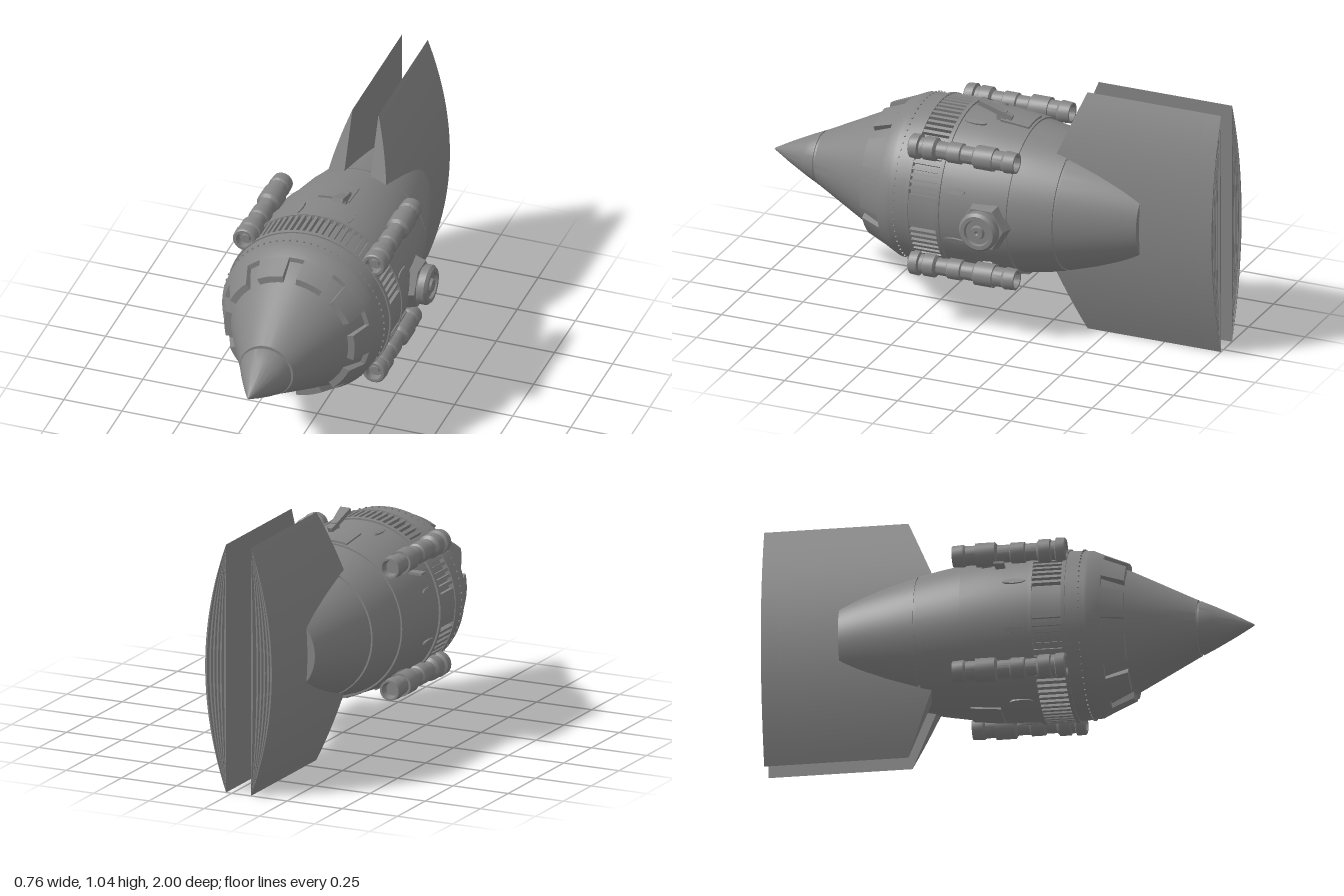
import * as THREE from 'three';
import { toCreasedNormals } from 'three/addons/utils/BufferGeometryUtils.js';

const TAU = Math.PI * 2;

export function createModel() {
  const model = new THREE.Group();
  model.name = 'rocketShip';
  const hullGrey = new THREE.MeshStandardMaterial({ color: 0x858585 });
  hullGrey.name = 'hullGrey';

  // everything is placed relative to the hull axis
  const ship = new THREE.Group();
  ship.name = 'ship';
  ship.position.set(-0.03, 0.522, 0);
  model.add(ship);

  const add = (name, geometry, parent = ship) => {
    const mesh = new THREE.Mesh(geometry, hullGrey);
    mesh.name = name;
    parent.add(mesh);
    return mesh;
  };

  // turned shape along z from [z, radius] pairs, z rising
  const turned = (profile, segments = 72) => {
    const g = new THREE.LatheGeometry(profile.map(([z, r]) => new THREE.Vector2(r, z)), segments);
    g.rotateX(Math.PI / 2);
    return toCreasedNormals(g, 0.45);
  };

  // box reshaped by a rule
  const reshaped = (sx, sy, sz, rule) => {
    const g = new THREE.BoxGeometry(1, 1, 1, sx, sy, sz);
    const p = g.attributes.position;
    for (let i = 0; i < p.count; i++) {
      p.setXYZ(i, ...rule(p.getX(i) + 0.5, p.getY(i) + 0.5, p.getZ(i) + 0.5));
    }
    g.computeVertexNormals();
    return toCreasedNormals(g, 0.45);
  };

  // curved plate around the axis; back and front are [z, inner, outer]
  const sector = (a0, a1, back, front, segments = 6) => reshaped(segments, 1, 1, (u, v, w) => {
    const a = a0 + (a1 - a0) * u;
    const [z, ri, ro] = back.map((b, i) => b + (front[i] - b) * w);
    const r = ri + (ro - ri) * v;
    return [r * Math.sin(a), r * Math.cos(a), z];
  });

  // part placed on the hull skin at an angle clockwise from the top
  const onHull = (mesh, angle, radius, z) => {
    mesh.position.set(radius * Math.sin(angle), radius * Math.cos(angle), z);
    mesh.rotation.z = -angle;
    return mesh;
  };

  // hull with seams and a recessed vent band
  add('hull', turned([
    [-0.68, 0], [-0.68, 0.185], [-0.6, 0.211], [-0.48, 0.246], [-0.36, 0.277],
    [-0.36, 0.271], [-0.35, 0.273], [-0.35, 0.281], [-0.26, 0.299], [-0.165, 0.315],
    [-0.165, 0.322], [-0.08, 0.332], [0.02, 0.34], [0.12, 0.344],
    [0.12, 0.352], [0.135, 0.353], [0.135, 0.33], [0.255, 0.33], [0.255, 0.353], [0.27, 0.352],
    [0.27, 0.346], [0.35, 0.34], [0.35, 0.315], [0.41, 0.297], [0.5, 0.252], [0.64, 0.182], [0.775, 0.114],
  ]));
  add('noseCone', turned([
    [0.765, 0.117], [0.775, 0.115], [0.775, 0.104], [0.785, 0.104], [0.785, 0.11],
    [0.84, 0.085], [0.92, 0.045], [0.99, 0.007], [1, 0],
  ], 48));

  // notched collar behind the nose
  add('collarBand', turned([[0.345, 0.341], [0.36, 0.34], [0.41, 0.317], [0.41, 0.29]]));
  for (let i = 0; i < 10; i++) {
    const mid = (i + 0.5) * TAU / 10;
    add('collarTooth', sector(mid - 0.21, mid + 0.21, [0.409, 0.28, 0.3175], [0.5, 0.24, 0.28]));
  }

  // rivets along the collar
  for (let i = 0; i < 72; i++) {
    onHull(add('rivet', new THREE.BoxGeometry(0.006, 0.008, 0.006)), i * TAU / 72, 0.344, 0.325);
  }

  // vent slats, with plain panels on both flanks
  for (let i = 0; i < 80; i++) {
    const a = (i + 0.5) * TAU / 80;
    if (Math.abs(Math.cos(a)) < 0.2) continue;
    onHull(add('ventSlat', new THREE.BoxGeometry(0.013, 0.025, 0.122)), a, 0.337, 0.195);
  }
  for (const mid of [Math.PI / 2, -Math.PI / 2]) {
    add('flankPanel', sector(mid - 0.2, mid + 0.2, [0.134, 0.32, 0.349], [0.256, 0.32, 0.349]));
  }

  // small pointed hatches in pairs on each side
  for (let i = 0; i < 4; i++) {
    for (const s of [-1, 1]) {
      const hatch = add('hatch', new THREE.CylinderGeometry(0.012, 0.012, 0.012, 8));
      hatch.geometry.scale(1, 1, 4);
      onHull(hatch, i * TAU / 4 + s * 0.32, 0.342, 0.06);
    }
  }

  // raised skin plates on top and underneath
  for (const mid of [0, Math.PI]) {
    add('skinPlate', sector(mid - 0.2, mid + 0.2, [-0.155, 0.3, 0.332], [-0.03, 0.3, 0.345]));
  }

  // four thruster pods
  const podProfile = [
    [-0.165, 0], [-0.165, 0.028], [-0.195, 0.034], [-0.195, 0.043], [-0.15, 0.046], [-0.14, 0.04],
    [-0.1, 0.04], [-0.1, 0.049], [-0.02, 0.049], [-0.01, 0.036], [0.04, 0.036], [0.045, 0.043],
    [0.1, 0.043], [0.105, 0.036], [0.15, 0.036], [0.16, 0.049], [0.205, 0.049], [0.21, 0.041],
    [0.225, 0.041], [0.23, 0.052], [0.265, 0.05], [0.27, 0.045], [0.27, 0.034], [0.24, 0.031],
    [0.24, 0.019], [0.255, 0.017], [0.255, 0],
  ];
  for (const sx of [-1, 1]) {
    for (const sy of [-1, 1]) {
      const pod = new THREE.Group();
      pod.name = 'thrusterPod';
      pod.position.set(sx * 0.278, sy * 0.257, 0);
      ship.add(pod);
      add('podTube', turned(podProfile, 24), pod);
      // brackets back to the hull
      for (const z of [-0.06, 0.18]) {
        const bracket = add('podBracket', new THREE.BoxGeometry(0.05, 0.07, 0.04), pod);
        bracket.position.set(-sx * 0.03, -sy * 0.03, z);
        bracket.rotation.z = -sx * sy * Math.PI / 4;
      }
    }
  }

  // round hatch on the left flank
  const port = new THREE.Group();
  port.name = 'sidePort';
  port.position.set(0.32, -0.02, -0.075);
  port.rotation.y = Math.PI / 2;
  ship.add(port);
  const base = new THREE.CylinderGeometry(0.095, 0.11, 0.05, 6);
  base.rotateX(Math.PI / 2).rotateZ(Math.PI / 6);
  add('portBase', toCreasedNormals(base, 0.4), port).position.z = 0.018;
  add('portRim', turned([
    [0.04, 0.07], [0.05, 0.083], [0.078, 0.083], [0.09, 0.072], [0.09, 0.056],
    [0.078, 0.052], [0.078, 0.03], [0.092, 0.026], [0.092, 0.01], [0.086, 0],
  ], 32), port);

  // tilted antenna on top and a small fitting on the right
  const antenna = add('antenna', reshaped(1, 1, 1, (u, v, w) => [
    (u - 0.5) * (0.046 - 0.026 * (1 - w)), (v - 0.5) * 0.02, (w - 0.5) * 0.15,
  ]));
  antenna.position.set(0.05, 0.372, -0.005);
  antenna.rotation.x = -0.36;
  const foot = add('antennaFoot', new THREE.BoxGeometry(0.02, 0.05, 0.04));
  foot.position.set(0.05, 0.345, -0.03);
  const fitting = add('sideFitting', new THREE.BoxGeometry(0.06, 0.01, 0.04));
  fitting.position.set(-0.305, 0.193, 0.0);

  // twin tail fins: flat inside, bowed outside, swept front edge
  const HALF = 0.522;
  const fin = (f0, f1, zBack, zFront, height) => reshaped(1, 28, 1, (u, v, w) => {
    const y = (v * 2 - 1) * height;
    const bow = 0.095 * (1 - (y / HALF) ** 2);
    const sweep = Math.min(-0.22, -0.3 - 0.11 * (Math.abs(y) - 0.25) / 0.272);
    const front = zFront === null ? sweep : zFront;
    return [bow * (f0 + (f1 - f0) * u), y, zBack + (front - zBack) * w];
  });
  for (const s of [-1, 1]) {
    const tail = new THREE.Group();
    tail.name = 'tailFin';
    tail.position.x = s * 0.056;
    if (s < 0) tail.rotation.z = Math.PI;
    ship.add(tail);
    add('finBody', fin(0, 1, -0.93, null, HALF), tail);
    // hollow rear edge with curved slats
    add('finInnerWall', fin(0, 0.1, -1, -0.93, HALF), tail);
    add('finOuterWall', fin(0.92, 1, -1, -0.93, HALF), tail);
    for (const f of [0.24, 0.41, 0.58, 0.75]) {
      add('finSlat', fin(f, f + 0.08, -0.995, -0.93, HALF * 0.96), tail);
    }
  }
  return model;
}
